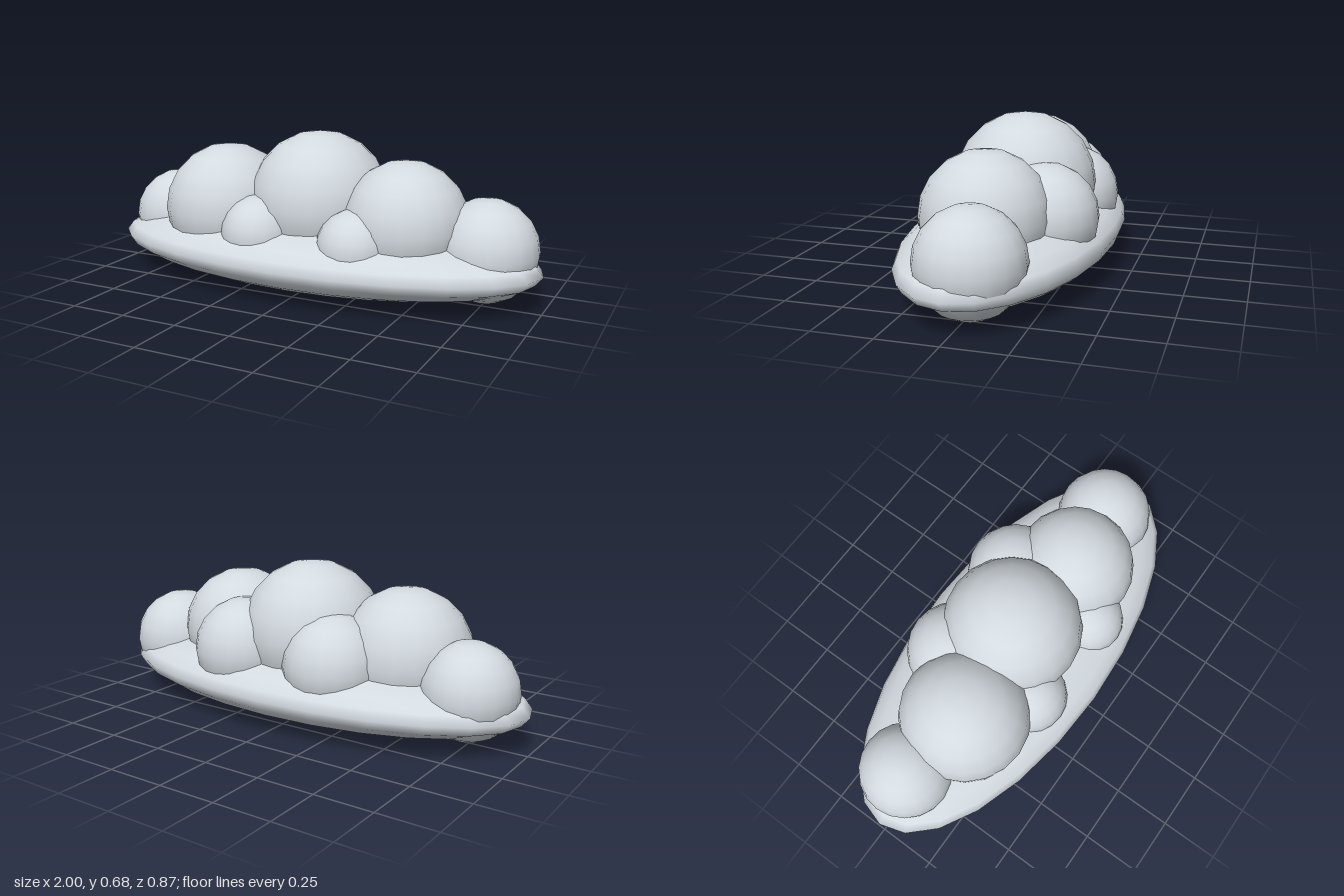
import * as THREE from 'three';

export function createModel() {
  const group = new THREE.Group();
  group.name = 'cloud';
  const cloudGrey = new THREE.MeshStandardMaterial({ color: 0xd3dae0 });
  cloudGrey.name = 'cloudGrey';

  // Flat oval underside of the cloud
  const base = new THREE.Mesh(new THREE.SphereGeometry(1, 24, 12), cloudGrey);
  base.name = 'base';
  base.scale.set(1, 0.157, 0.435);
  base.position.y = 0.159;
  group.add(base);

  // Round puffs: name, x, y, z, radius
  const puffs = [
    ['centrePuff', 0, 0.37, -0.02, 0.31],
    ['rightLargePuff', -0.43, 0.315, 0.04, 0.287],
    ['leftLargePuff', 0.42, 0.32, 0.025, 0.27],
    ['rightEndPuff', -0.755, 0.235, -0.035, 0.205],
    ['leftEndPuff', 0.755, 0.234, -0.028, 0.218],
    ['rightFrontPuff', -0.18, 0.25, 0.2, 0.17],
    ['leftFrontPuff', 0.27, 0.24, 0.205, 0.163],
    ['rightBackPuff', -0.21, 0.285, -0.175, 0.218],
    ['leftBackPuff', 0.25, 0.29, -0.178, 0.222],
  ];
  for (const [name, x, y, z, radius] of puffs) {
    const puff = new THREE.Mesh(new THREE.SphereGeometry(radius, 20, 10), cloudGrey);
    puff.name = name;
    puff.position.set(x, y, z);
    group.add(puff);
  }
  return group;
}
